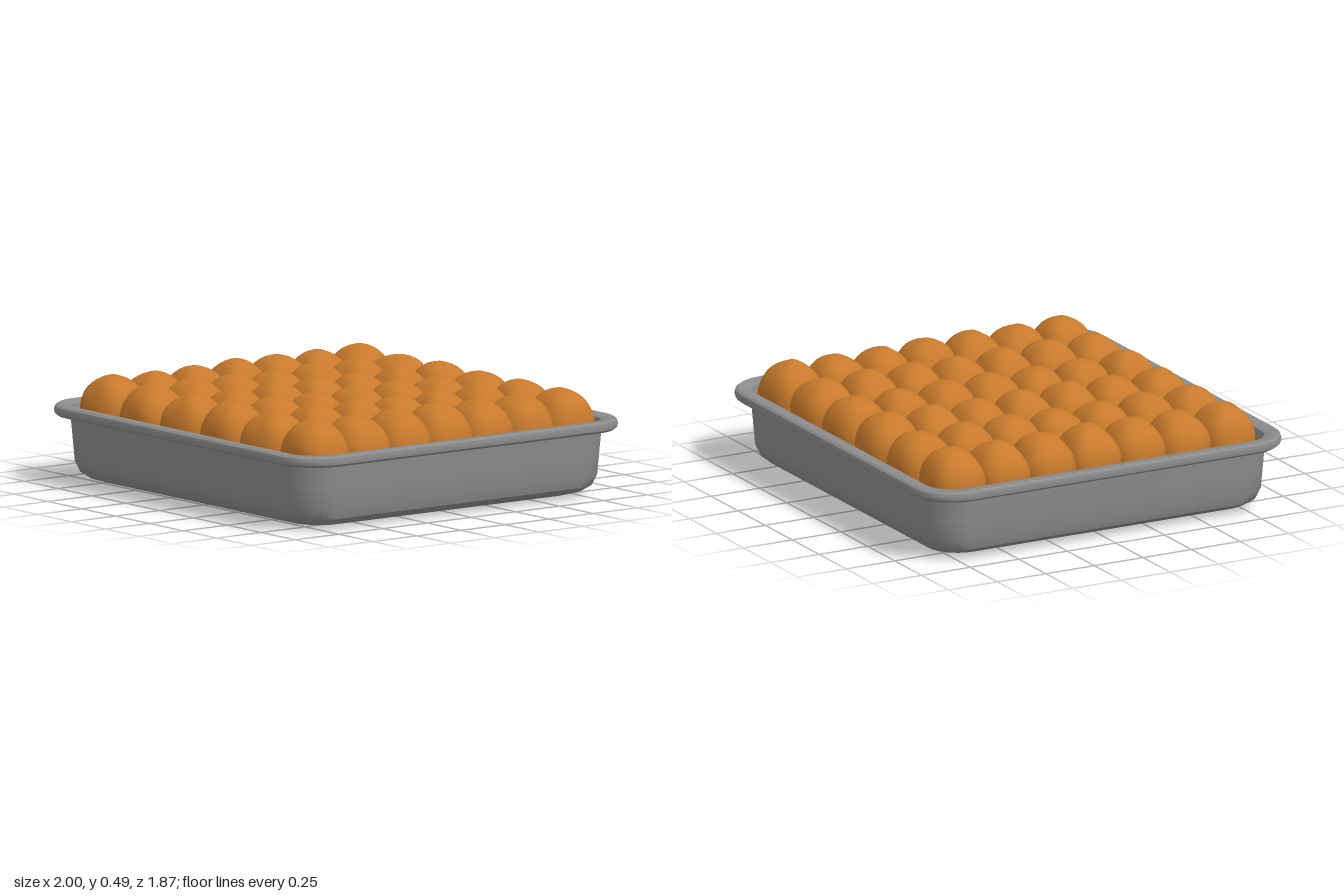
import * as THREE from 'three';
import { mergeVertices, toCreasedNormals } from 'three/addons/utils/BufferGeometryUtils.js';

const SEG = 10; // segments per rounded corner

// Closed rounded-rectangle loop at height y
function ring(hx, hz, r, y) {
  const pts = [];
  [[1, 1], [-1, 1], [-1, -1], [1, -1]].forEach(([sx, sz], q) => {
    for (let i = 0; i <= SEG; i++) {
      const a = (q + i / SEG) * Math.PI / 2;
      pts.push([sx * (hx - r) + r * Math.cos(a), y, sz * (hz - r) + r * Math.sin(a)]);
    }
  });
  return pts;
}

// Skin a list of [hx, hz, r, y] sections; optionally close either end
function loft(sections, capStart, capEnd) {
  const rings = sections.map((s) => ring(...s));
  const n = rings[0].length, pos = rings.flat(2), idx = [];
  for (let k = 0; k < rings.length - 1; k++) {
    for (let i = 0; i < n; i++) {
      const a = k * n + i, b = k * n + (i + 1) % n;
      idx.push(a, a + n, b, b, a + n, b + n);
    }
  }
  const cap = (k, flip) => {
    const c = pos.length / 3;
    pos.push(0, sections[k][3], 0);
    for (let i = 0; i < n; i++) {
      const a = k * n + i, b = k * n + (i + 1) % n;
      if (flip) idx.push(c, a, b); else idx.push(c, b, a);
    }
  };
  if (capStart) cap(0, true);
  if (capEnd) cap(rings.length - 1, false);
  const g = new THREE.BufferGeometry();
  g.setAttribute('position', new THREE.Float32BufferAttribute(pos, 3));
  g.setIndex(idx);
  return toCreasedNormals(g, 0.6);
}

// Soft, squarish, slightly lumpy bun; s picks the variation
function bunGeometry(s) {
  let g = new THREE.SphereGeometry(1, 28, 18);
  g.deleteAttribute('uv');
  g.deleteAttribute('normal');
  g = mergeVertices(g);
  const p = g.attributes.position, v = new THREE.Vector3();
  for (let i = 0; i < p.count; i++) {
    v.fromBufferAttribute(p, i);
    const lump = 1 + 0.018 * Math.sin(3.1 * v.x + s * 1.7) * Math.cos(3.7 * v.z + s * 2.3)
      + 0.012 * Math.sin(5.3 * v.y + 4.1 * v.x + s * 3.1);
    const round = Math.hypot(v.x, v.z);
    const cubic = Math.cbrt(Math.abs(v.x) ** 3 + Math.abs(v.z) ** 3);
    const f = cubic > 1e-5 ? round / cubic : 1;
    p.setXYZ(i, v.x * f * 0.149 * lump, v.y * (v.y > 0 ? 0.16 : 0.28) * lump, v.z * f * 0.132 * lump);
  }
  g.computeVertexNormals();
  return g;
}

export function createModel() {
  const model = new THREE.Group();
  const metal = new THREE.MeshStandardMaterial({ color: 0x8c8c8c });
  metal.name = 'grey metal';
  const crust = new THREE.MeshStandardMaterial({ color: 0xc87a2c });
  crust.name = 'golden crust';
  const add = (name, geometry, material, parent = model) => {
    const m = new THREE.Mesh(geometry, material);
    m.name = name;
    parent.add(m);
    return m;
  };

  // Pan outside, from the base up the wall, around the rim and just inside it
  add('panShell', loft([
    [0.74, 0.68, 0.12, 0.005], [0.82, 0.76, 0.14, 0.014], [0.87, 0.81, 0.15, 0.03],
    [0.905, 0.84, 0.16, 0.055], [0.92, 0.857, 0.16, 0.1], [0.927, 0.863, 0.16, 0.2],
    [0.935, 0.87, 0.16, 0.312], [0.985, 0.92, 0.19, 0.31], [0.997, 0.932, 0.2, 0.32],
    [1.0, 0.935, 0.2, 0.335], [0.996, 0.931, 0.2, 0.352], [0.985, 0.92, 0.19, 0.36],
    [0.935, 0.87, 0.14, 0.357], [0.92, 0.857, 0.12, 0.35], [0.912, 0.85, 0.11, 0.315],
  ], true, false), metal);

  // Baked crust against the inner wall
  add('crustLining', loft([
    [0.912, 0.85, 0.11, 0.315], [0.895, 0.835, 0.11, 0.2], [0.875, 0.815, 0.11, 0.05],
  ], false, false), crust);

  // Inside floor
  add('panFloor', loft([
    [0.875, 0.815, 0.11, 0.05], [0.86, 0.8, 0.1, 0.04],
  ], false, true), metal);

  // Six by seven buns, each a little different
  const buns = new THREE.Group();
  buns.name = 'buns';
  model.add(buns);
  for (let row = 0; row < 7; row++) {
    for (let col = 0; col < 6; col++) {
      const s = row * 6 + col + 1;
      const bun = add('bun', bunGeometry(s), crust, buns);
      bun.position.set((col - 2.5) * 0.298, 0.33, (row - 3) * 0.232 - 0.005);
      bun.scale.y = 1 + 0.025 * Math.sin(s * 2.4);
    }
  }
  return model;
}
